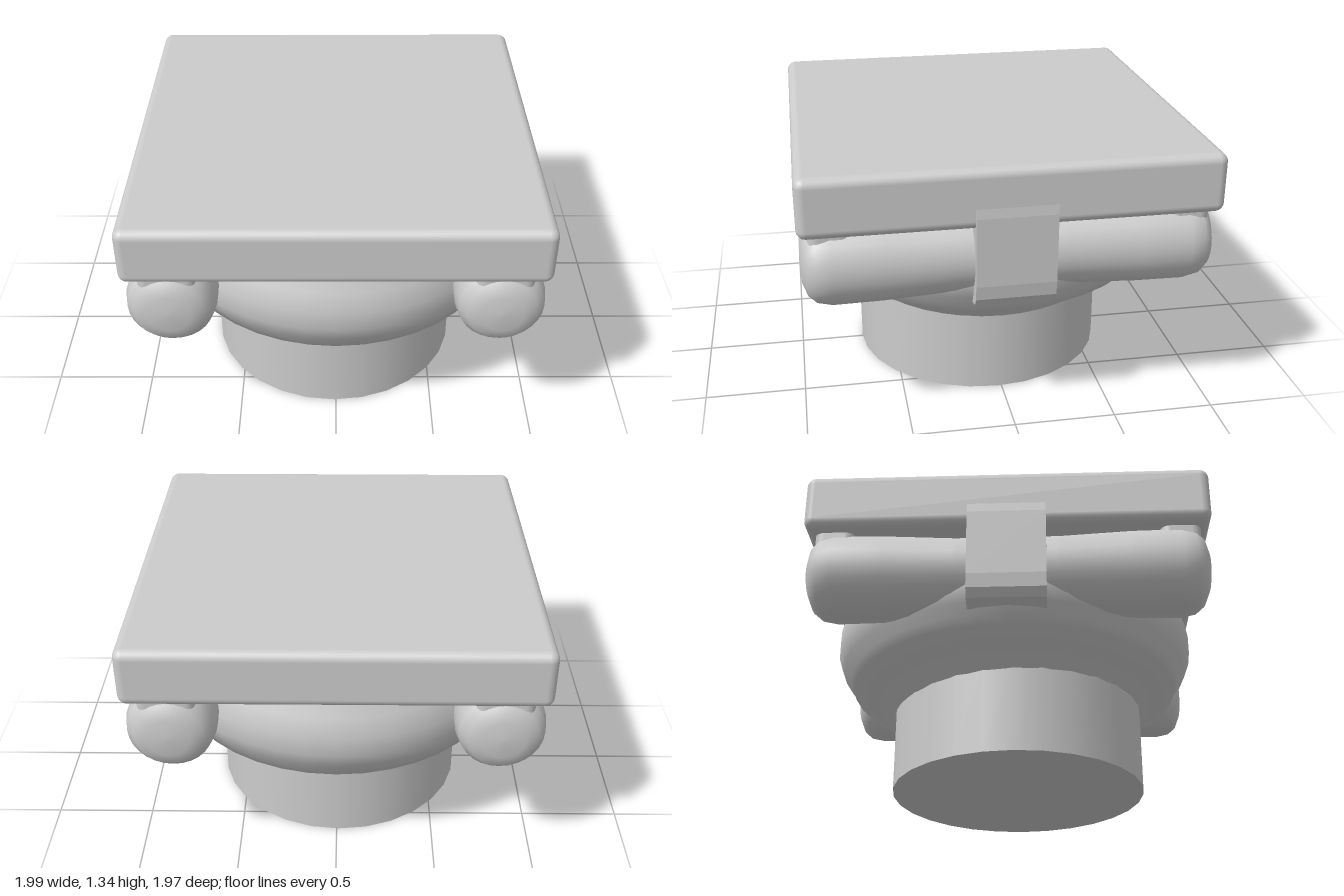
import * as THREE from 'three';
import { RoundedBoxGeometry } from 'three/addons/geometries/RoundedBoxGeometry.js';

const material = new THREE.MeshStandardMaterial({ color: 0xcccccc });

function add(group, name, geometry, x = 0, y = 0, z = 0) {
  const mesh = new THREE.Mesh(geometry, material);
  mesh.name = name;
  mesh.position.set(x, y, z);
  group.add(mesh);
  return mesh;
}

const points = (pairs) => pairs.map(([x, y]) => new THREE.Vector2(x, y));

export function createModel() {
  const group = new THREE.Group();

  // Square slab on top
  add(group, 'abacus', new RoundedBoxGeometry(1.98, 0.29, 1.97, 4, 0.045), 0, 1.19, 0);

  // Round column neck with a closed underside
  add(group, 'neck', new THREE.CylinderGeometry(0.65, 0.65, 0.46, 28), -0.01, 0.23, 0.02);

  // Flared, rounded moulding between neck and slab
  add(group, 'echinus', new THREE.LatheGeometry(points([
    [0.64, 0.41], [0.68, 0.44], [0.76, 0.51], [0.86, 0.56], [0.88, 0.61],
    [0.92, 0.66], [0.95, 0.74], [0.95, 0.84], [0.92, 0.94], [0.88, 1.0], [0.86, 1.08],
  ]), 40));

  // Side scrolls running front to back, slimmer towards the middle
  const half = [[0, 0.98], [0.1, 0.975], [0.165, 0.95], [0.2, 0.91], [0.215, 0.84], [0.212, 0.6], [0.195, 0.25]];
  const scrollProfile = points([
    ...half.map(([r, z]) => [r, -z]),
    ...half.slice().reverse(),
  ]);

  // Strap around the middle of each scroll, reaching up onto the slab
  const strapShape = new THREE.Shape(points([
    [0.58, 0.65], [0.88, 0.63], [0.95, 0.65], [0.98, 0.69], [0.99, 0.76],
    [0.995, 1.1], [0.98, 1.24], [0.58, 1.24],
  ]));

  for (const [side, label] of [[1, 'left'], [-1, 'right']]) {
    const scroll = add(group, label + 'Scroll', new THREE.LatheGeometry(scrollProfile, 28), side * 0.775, 0.86, 0);
    scroll.rotation.x = Math.PI / 2;

    const strap = new THREE.ExtrudeGeometry(strapShape, { depth: 0.38, bevelEnabled: false });
    strap.translate(0, 0, -0.19);
    if (side < 0) strap.rotateY(Math.PI);
    add(group, label + 'Strap', strap);

    // Fillets joining the scroll ends to the slab
    for (const end of [1, -1]) {
      add(group, label + 'ScrollFillet', new RoundedBoxGeometry(0.28, 0.2, 0.2, 3, 0.05),
        side * 0.78, 1.03, end * 0.84);
    }
  }
  return group;
}
